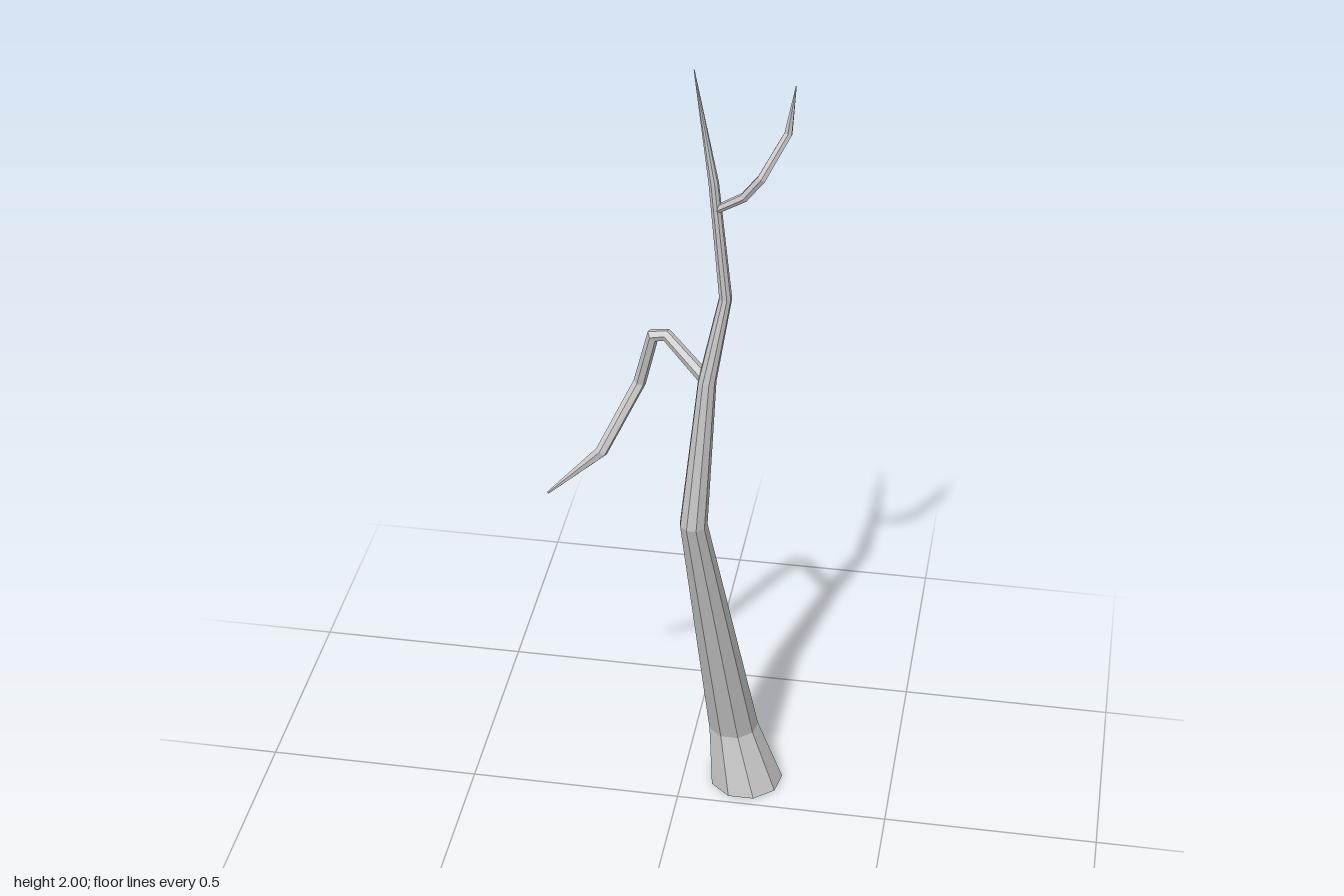
import * as THREE from 'three';

const bark = new THREE.MeshStandardMaterial({ color: 0xcccccc, flatShading: true });

// Faceted tapering limb through rings [x, y, z, radius]; level keeps every ring horizontal
function limb(name, rings, sides, level = false) {
  const centres = rings.map(([x, y, z]) => new THREE.Vector3(x, y, z));
  const u = new THREE.Vector3(0, 0, -1);
  const last = rings.length - 1;
  const loops = centres.map((c, i) => {
    const t = new THREE.Vector3(0, 1, 0);
    if (!level) {
      const before = c.clone().sub(centres[Math.max(i - 1, 0)]).normalize();
      const after = centres[Math.min(i + 1, last)].clone().sub(c).normalize();
      t.copy(before.add(after)).normalize();
    }
    // carry the ring's direction along without twisting
    u.addScaledVector(t, -u.dot(t)).normalize();
    const v = t.clone().cross(u);
    return Array.from({ length: sides }, (_, j) => {
      const a = (j / sides) * Math.PI * 2;
      return c.clone()
        .addScaledVector(u, Math.cos(a) * rings[i][3])
        .addScaledVector(v, Math.sin(a) * rings[i][3]);
    });
  });

  const pos = [];
  const tri = (...p) => p.forEach((q) => pos.push(q.x, q.y, q.z));
  for (let j = 0; j < sides; j++) {
    const k = (j + 1) % sides;
    tri(centres[0], loops[0][k], loops[0][j]);
    for (let i = 0; i < last; i++) {
      tri(loops[i][j], loops[i][k], loops[i + 1][k]);
      tri(loops[i][j], loops[i + 1][k], loops[i + 1][j]);
    }
    tri(centres[last], loops[last][j], loops[last][k]);
  }
  const geo = new THREE.BufferGeometry();
  geo.setAttribute('position', new THREE.Float32BufferAttribute(pos, 3));
  geo.computeVertexNormals();
  const mesh = new THREE.Mesh(geo, bark);
  mesh.name = name;
  return mesh;
}

export function createModel() {
  const tree = new THREE.Group();
  tree.name = 'bareTree';

  // Leaning trunk, flared at the foot and pointed at the top
  tree.add(limb('trunk', [
    [0.15, 0, -0.105, 0.088],
    [0.117, 0.16, -0.103, 0.06],
    [0.06, 0.9, 0.147, 0.031],
    [0.088, 1.27, 0.146, 0.02],
    [0.124, 1.47, 0.135, 0.014],
    [0.1, 1.75, 0.155, 0.011],
    [0.06, 2, 0.16, 0.001],
  ], 9, true));

  // Crooked branch that rises, then droops
  tree.add(limb('lowerBranch', [
    [0.085, 1.27, 0.14, 0.015],
    [-0.006, 1.352, 0.107, 0.014],
    [-0.036, 1.345, 0.102, 0.015],
    [-0.07, 1.21, 0.078, 0.014],
    [-0.145, 1.06, 0.135, 0.014],
    [-0.268, 0.933, 0.127, 0.003],
  ], 6));

  // Thin branch near the top
  tree.add(limb('upperBranch', [
    [0.108, 1.688, 0.153, 0.009],
    [0.165, 1.728, 0.168, 0.01],
    [0.202, 1.78, 0.18, 0.01],
    [0.25, 1.87, 0.15, 0.009],
    [0.264, 1.978, 0.155, 0.001],
  ], 6));

  return tree;
}
